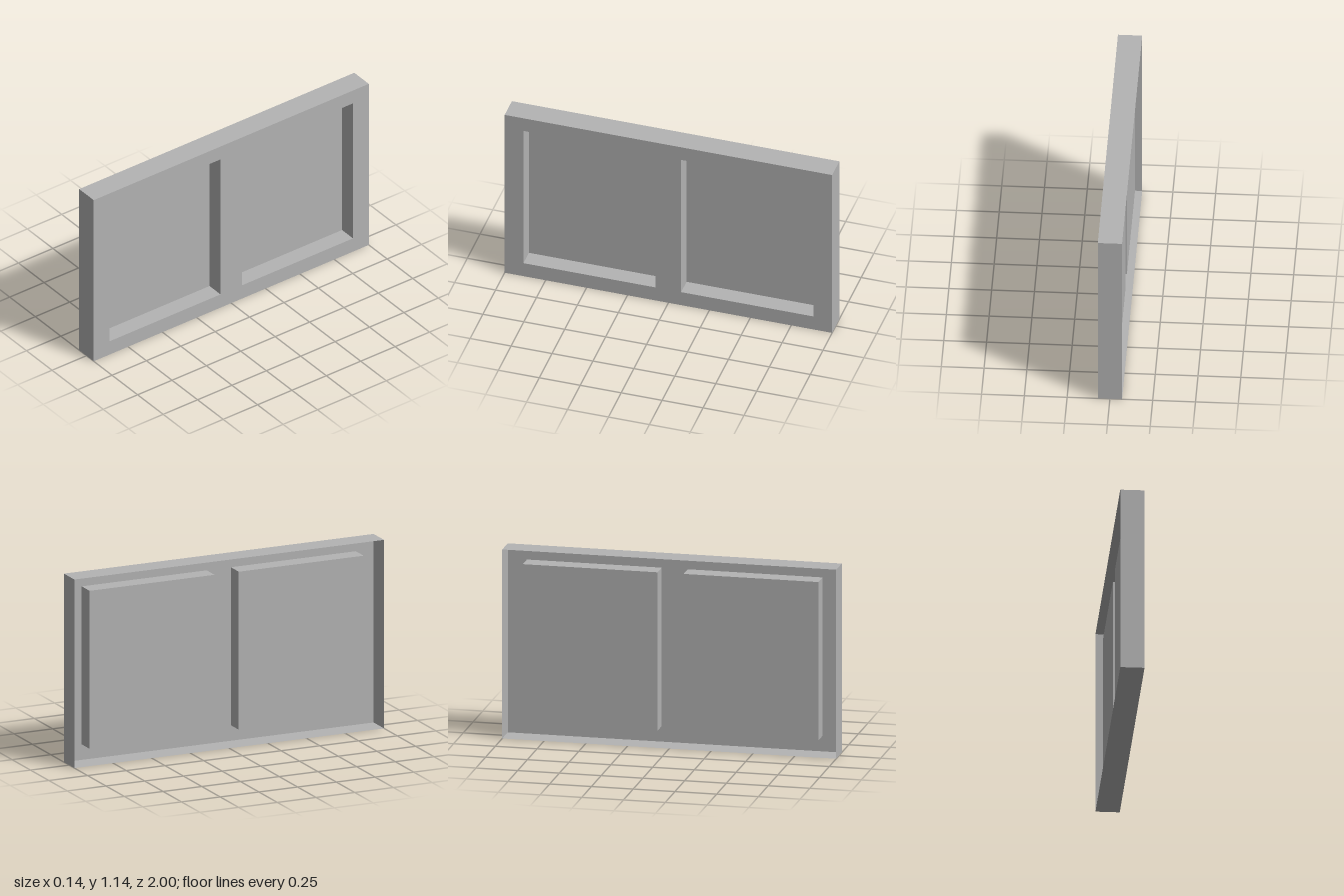
import * as THREE from 'three';
import { mergeGeometries } from 'three/addons/utils/BufferGeometryUtils.js';

const HALF = 0.071;      // half thickness of the panel along x
const HEIGHT = 1.142;
const FLOOR = -0.036;    // x of the pocket floors
const POCKET = { width: 0.807, height: 0.957, y: 0.5725, z: 0.4815 };

const grey = new THREE.MeshStandardMaterial({ color: 0xb4b4b4, side: THREE.DoubleSide });
grey.name = 'grey';

// Four thin walls around a rectangle in the zy plane, from x0 to x1.
// facing = 1 turns the walls outward, -1 inward.
function wallRing(width, height, x0, x1, facing) {
  const depth = x1 - x0;
  const walls = [];
  for (const side of [1, -1]) {
    const end = new THREE.PlaneGeometry(depth, height);
    if (side * facing < 0) end.rotateY(Math.PI);
    end.translate((x0 + x1) / 2, 0, side * width / 2);
    const level = new THREE.PlaneGeometry(depth, width);
    level.rotateX(-side * facing * Math.PI / 2);
    level.translate((x0 + x1) / 2, side * height / 2, 0);
    walls.push(end, level);
  }
  return mergeGeometries(walls);
}

function rectangle(Type, cx, cy, w, h) {
  const path = new Type();
  path.moveTo(cx - w / 2, cy - h / 2);
  path.lineTo(cx + w / 2, cy - h / 2);
  path.lineTo(cx + w / 2, cy + h / 2);
  path.lineTo(cx - w / 2, cy + h / 2);
  path.closePath();
  return path;
}

function addPart(parent, name, geometry) {
  const mesh = new THREE.Mesh(geometry, grey);
  mesh.name = name;
  parent.add(mesh);
  return mesh;
}

export function createModel() {
  const model = new THREE.Group();
  model.name = 'doublePocketPanel';

  // Front sheet with two window openings, facing +x
  const sheet = rectangle(THREE.Shape, 0, HEIGHT / 2, 2, HEIGHT);
  for (const side of [-1, 1]) {
    sheet.holes.push(rectangle(THREE.Path, side * POCKET.z, POCKET.y, POCKET.width, POCKET.height));
  }
  const face = new THREE.ShapeGeometry(sheet);
  face.rotateY(Math.PI / 2).translate(HALF, 0, 0);
  addPart(model, 'faceSheet', face);

  // Thin outer rim, open at the back
  const rim = addPart(model, 'outerRim', wallRing(2, HEIGHT, -HALF, HALF, 1));
  rim.position.y = HEIGHT / 2;

  // Two recessed pockets that stand inside the hollow back
  for (const side of [1, -1]) {
    const pocket = new THREE.Group();
    pocket.name = side > 0 ? 'frontPocket' : 'backPocket';
    pocket.position.set(0, POCKET.y, side * POCKET.z);
    addPart(pocket, 'pocketWalls', wallRing(POCKET.width, POCKET.height, FLOOR, HALF, -1));
    const floor = new THREE.PlaneGeometry(POCKET.width, POCKET.height);
    floor.rotateY(Math.PI / 2).translate(FLOOR, 0, 0);
    addPart(pocket, 'pocketFloor', floor);
    model.add(pocket);
  }
  return model;
}
